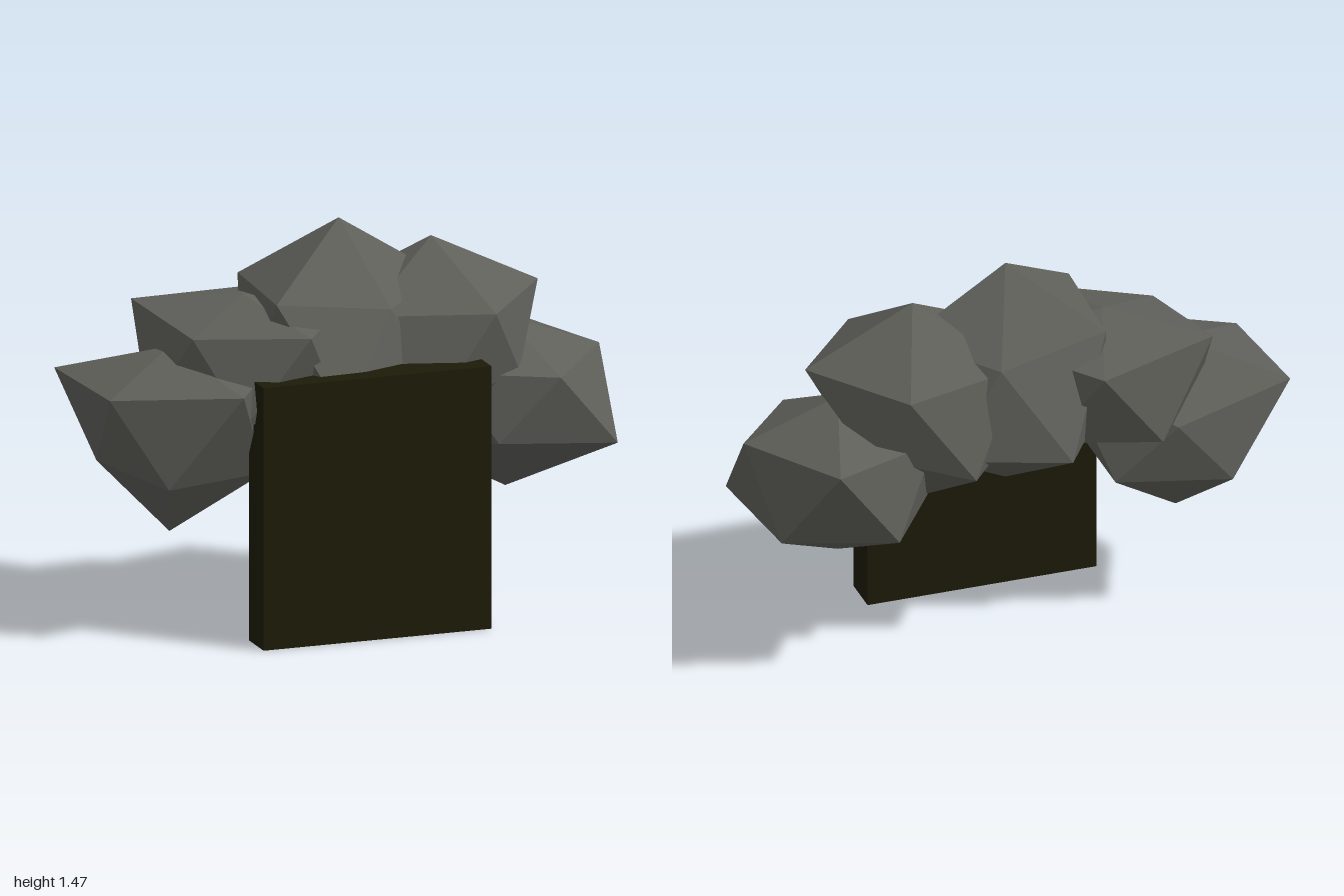
import * as THREE from 'three';

// Twelve-cornered boulder: peak, two staggered rings of five, bottom.
// "taper" narrows the lower ring; "chips" moves single corners (1-5 upper ring, 6-10 lower, 11 bottom).
function boulderGeometry({ x, y, rx, ry, rz, peak = y + ry, taper = 1, chips = {} }) {
  const corners = [new THREE.Vector3(x, peak, 0)];
  for (const lower of [false, true]) {
    const spread = 0.894 * (lower ? taper : 1);
    const height = y + ry * (lower ? -0.447 : 0.447);
    for (let i = 0; i < 5; i++) {
      const a = (i + (lower ? 0.5 : 0)) * Math.PI * 0.4;
      corners.push(new THREE.Vector3(x + spread * rx * Math.cos(a), height, spread * rz * Math.sin(a)));
    }
  }
  corners.push(new THREE.Vector3(x, y - ry, 0));
  for (const k in chips) corners[k].set(...chips[k]);

  const index = [];
  for (let i = 0; i < 5; i++) {
    const j = (i + 1) % 5;
    const u = 1 + i, u2 = 1 + j, l = 6 + i, l2 = 6 + j;
    index.push(0, u2, u, u, u2, l, l, u2, l2, 11, l, l2);
  }
  const geometry = new THREE.BufferGeometry().setFromPoints(corners);
  geometry.setIndex(index);
  const flat = geometry.toNonIndexed();
  flat.computeVertexNormals();
  return flat;
}

export function createModel() {
  const model = new THREE.Group();
  model.name = 'rockArch';

  const stone = new THREE.MeshStandardMaterial({ color: 0x5f5f5a });
  stone.name = 'grey stone';
  const darkPanel = new THREE.MeshStandardMaterial({ color: 0x1d1b08 });
  darkPanel.name = 'dark olive';

  // Upright slab closing the opening
  const slab = new THREE.Mesh(new THREE.BoxGeometry(0.875, 0.98, 0.152), darkPanel);
  slab.name = 'doorSlab';
  slab.position.set(-0.005, 0.49, 0.343);
  model.add(slab);

  const addBoulder = (name, shape) => {
    const boulder = new THREE.Mesh(boulderGeometry(shape), stone);
    boulder.name = name;
    model.add(boulder);
  };

  // Five boulders arching over the slab, from the model's left to its right
  addBoulder('lowerLeftBoulder', {
    x: 0.64, y: 0.755, rx: 0.403, ry: 0.345, rz: 0.42, peak: 1.04,
    chips: {
      2: [0.74, 0.88, 0.31],
      5: [0.78, 0.945, -0.43],
      6: [0.98, 0.6, 0.25],
      7: [0.52, 0.64, 0.26],
    },
  });
  addBoulder('upperLeftBoulder', {
    x: 0.355, y: 0.97, rx: 0.455, ry: 0.4, rz: 0.4,
    chips: { 1: [0.765, 1.17, 0], 6: [0.61, 0.9, 0.23], 10: [0.61, 0.9, -0.23] },
  });
  addBoulder('topBoulder', {
    x: 0, y: 1.03, rx: 0.43, ry: 0.44, rz: 0.47,
    chips: {
      2: [0.11, 1.18, 0.25],
      3: [-0.33, 1.235, 0.25],
      4: [-0.31, 1.24, -0.21],
      5: [0.11, 1.18, -0.27],
    },
  });
  addBoulder('upperRightBoulder', {
    x: -0.37, y: 0.98, rx: 0.45, ry: 0.35, rz: 0.45, peak: 1.22, taper: 0.9,
    chips: { 3: [-0.63, 1.12, 0.19], 4: [-0.705, 1.17, -0.25], 11: [-0.37, 0.72, 0] },
  });
  addBoulder('lowerRightBoulder', {
    x: -0.65, y: 0.79, rx: 0.48, ry: 0.43, rz: 0.42, peak: 1.05, taper: 0.85,
    chips: {
      2: [-0.52, 0.95, 0.425],
      3: [-0.96, 0.93, 0.22],
      4: [-1, 0.94, -0.25],
      5: [-0.56, 0.84, -0.29],
      8: [-0.93, 0.65, 0],
    },
  });
  return model;
}
